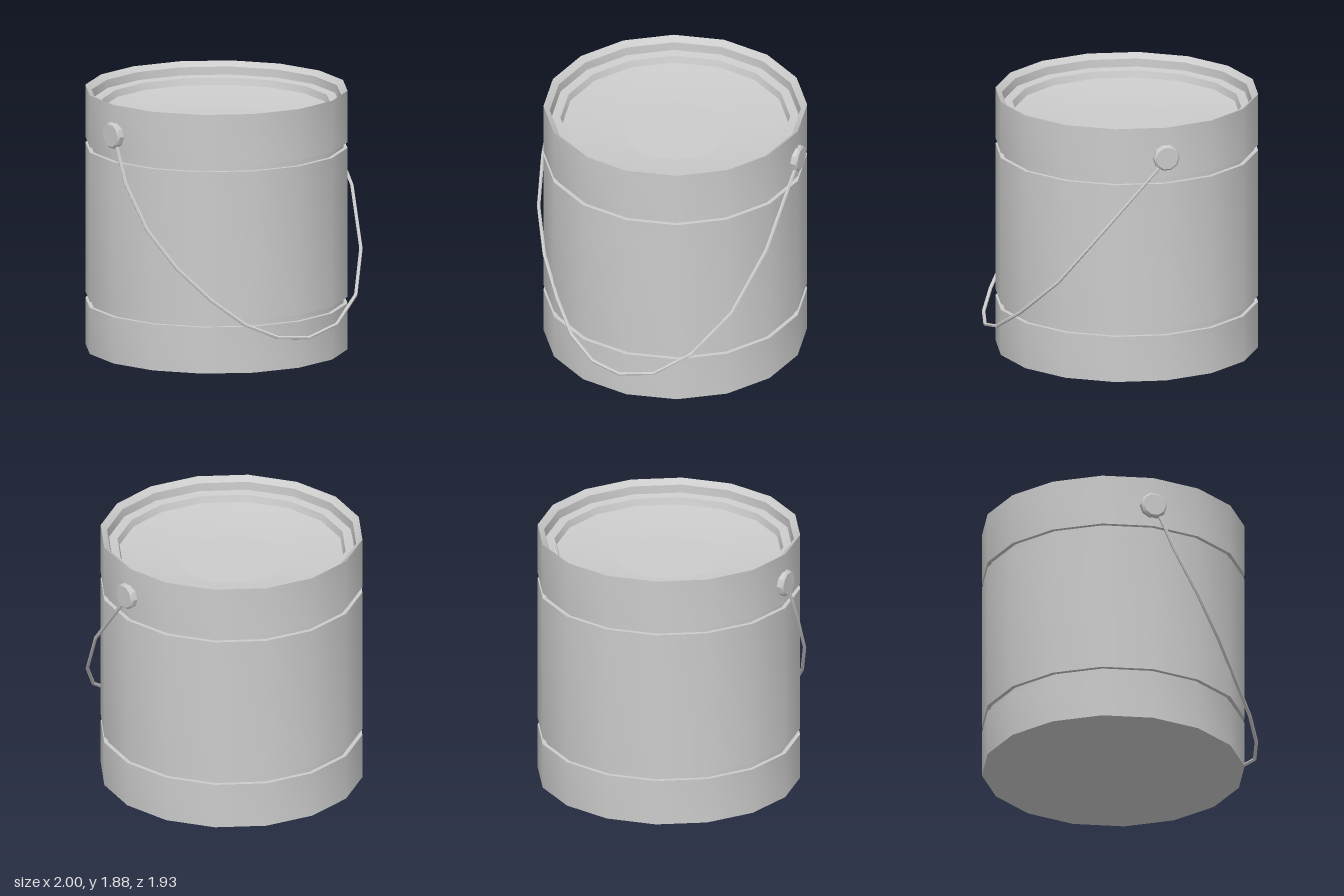
import * as THREE from 'three';
import { toCreasedNormals } from 'three/addons/utils/BufferGeometryUtils.js';

const CX = -0.065, CZ = -0.006; // axis of the can
const SIDES = 16;

const material = new THREE.MeshStandardMaterial({ color: 0xcccccc });

// Turned part: smooth around the axis, sharp between profile bands
function turned(name, profile, sides) {
  const points = profile.map(([r, y]) => new THREE.Vector2(r, y));
  const geometry = toCreasedNormals(new THREE.LatheGeometry(points, sides), 0.5);
  const mesh = new THREE.Mesh(geometry, material);
  mesh.name = name;
  return mesh;
}

export function createModel() {
  const model = new THREE.Group();
  model.name = 'paintCan';

  // Can body with two grooves and a rim sloping inward
  const R = 0.935, G = 0.905;
  const body = turned('body', [
    [0, 0], [R, 0], [R, 0.335], [G, 0.335], [G, 0.38], [R, 0.38],
    [R, 1.46], [G, 1.46], [G, 1.5], [R, 1.5], [R, 1.875],
    [0.89, 1.84], [0.885, 1.74], [0, 1.6],
  ], SIDES);
  body.position.set(CX, 0, CZ);
  model.add(body);

  // Lid: raised ring around a sunken panel
  const lid = turned('lid', [
    [0.876, 1.7], [0.876, 1.785], [0.815, 1.775], [0.78, 1.66], [0, 1.66],
  ], SIDES);
  lid.position.set(CX, 0, CZ);
  model.add(lid);

  // Bevelled handle buttons, front and back
  for (const s of [1, -1]) {
    const button = turned(s > 0 ? 'frontButton' : 'backButton', [
      [0, -0.08], [0.082, -0.08], [0.095, -0.03], [0.095, 0.015], [0.082, 0.028], [0, 0.028],
    ], 10);
    button.geometry.rotateY(Math.PI / 10);
    button.rotation.x = s * Math.PI / 2;
    button.position.set(CX, 1.655, CZ + s * 0.938);
    model.add(button);
  }

  // Wire handle hanging to the left side, bent from straight pieces
  const path = new THREE.CatmullRomCurve3([
    [-0.04, 1.64, 0.925], [-0.02, 1.58, 0.935], [0.09, 1.33, 0.943], [0.28, 1.02, 0.9],
    [0.47, 0.755, 0.78], [0.65, 0.53, 0.61], [0.81, 0.36, 0.435], [0.925, 0.26, 0.23],
    [0.985, 0.237, 0], [0.98, 0.3, -0.26], [0.885, 0.465, -0.51], [0.67, 0.735, -0.73],
    [0.38, 1.13, -0.88], [-0.015, 1.58, -0.937], [-0.04, 1.64, -0.935],
  ].map((p) => new THREE.Vector3(...p)));
  // One ring exactly at each bend
  path.getPointAt = (u, target) => path.getPoint(u, target);
  path.getTangentAt = (u, target) => path.getTangent(u, target);
  const handle = new THREE.Mesh(
    toCreasedNormals(new THREE.TubeGeometry(path, path.points.length - 1, 0.013, 6), 0.6), material);
  handle.name = 'wireHandle';
  model.add(handle);

  return model;
}
